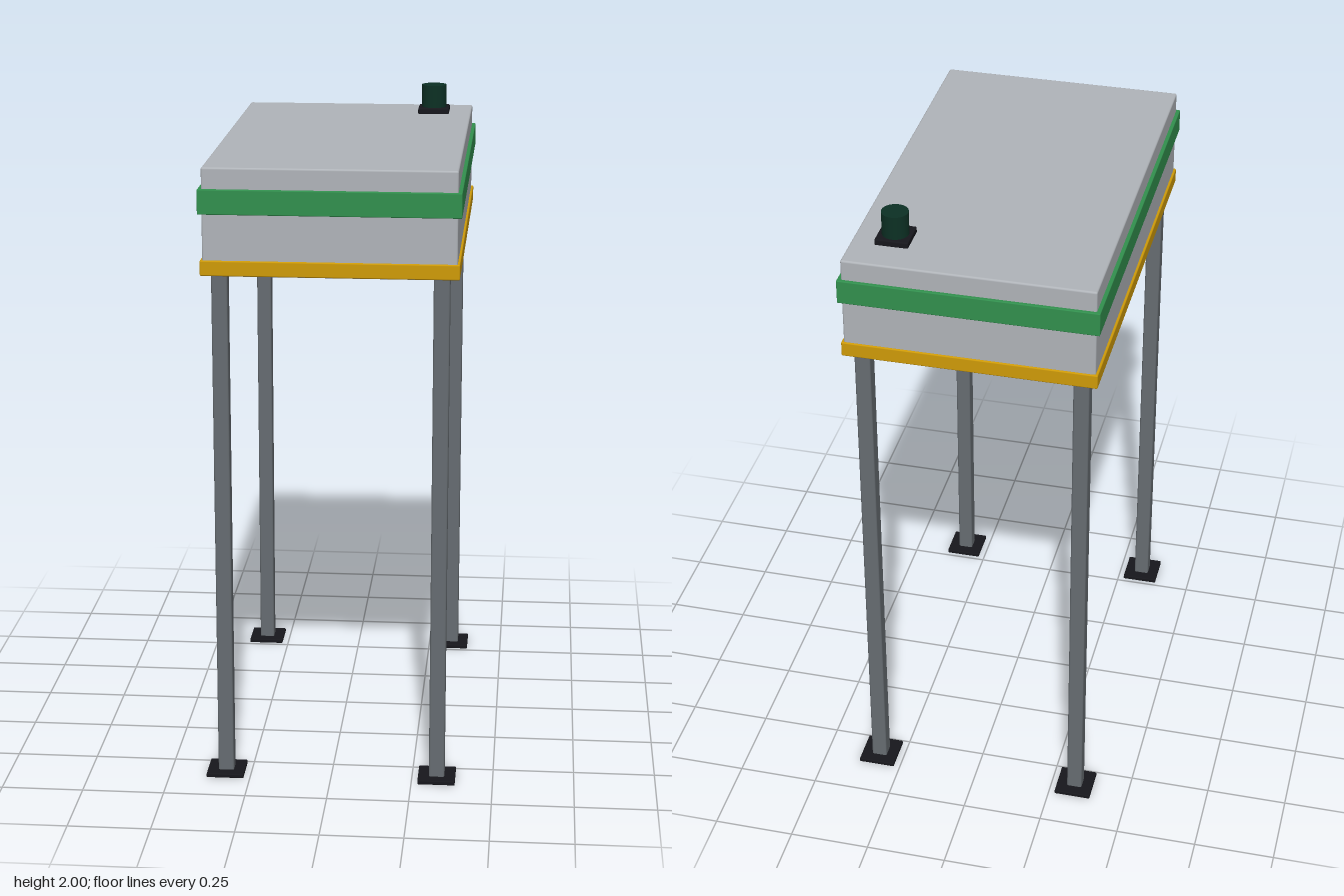
import * as THREE from 'three';
import { RoundedBoxGeometry } from 'three/addons/geometries/RoundedBoxGeometry.js';

function mat(name, color) {
  const m = new THREE.MeshStandardMaterial({ color });
  m.name = name;
  return m;
}

export function createModel() {
  const housingGrey = mat('housing grey', 0xb0b4b9);
  const bandGreen = mat('band green', 0x32904e);
  const trimYellow = mat('trim yellow', 0xcf9b08);
  const legSteel = mat('leg steel', 0x666c71);
  const black = mat('black', 0x17171c);
  const capGreen = mat('cap dark green', 0x0c3024);

  const group = new THREE.Group();
  group.name = 'raisedCabinet';

  const add = (name, geometry, material, x, y, z) => {
    const mesh = new THREE.Mesh(geometry, material);
    mesh.name = name;
    mesh.position.set(x, y, z);
    group.add(mesh);
    return mesh;
  };
  // Box given by its bottom and top heights, with softened edges
  const box = (name, material, w, d, y0, y1, r, x = 0, z = 0) =>
    add(name, new RoundedBoxGeometry(w, y1 - y0, d, 2, r), material, x, (y0 + y1) / 2, z);

  // Housing with its two surrounding bands
  box('housing', housingGrey, 0.746, 1.234, 1.588, 1.91, 0.006);
  box('greenBand', bandGreen, 0.769, 1.254, 1.773, 1.847, 0.003);
  box('yellowTrim', trimYellow, 0.76, 1.244, 1.59, 1.636, 0.004);

  // Plate under the housing
  const pad = new THREE.Shape();
  const h = 0.233, c = 0.02;
  pad.moveTo(-h + c, -h);
  pad.lineTo(h - c, -h).quadraticCurveTo(h, -h, h, -h + c);
  pad.lineTo(h, h - c).quadraticCurveTo(h, h, h - c, h);
  pad.lineTo(-h + c, h).quadraticCurveTo(-h, h, -h, h - c);
  pad.lineTo(-h, -h + c).quadraticCurveTo(-h, -h, -h + c, -h);
  const padGeometry = new THREE.ExtrudeGeometry(pad, { depth: 0.018, bevelEnabled: false, curveSegments: 5 });
  padGeometry.rotateX(-Math.PI / 2);
  add('undersidePlate', padGeometry, black, 0, 1.572, 0);

  // Four legs on flat feet
  for (const sx of [-1, 1]) {
    for (const sz of [-1, 1]) {
      box('leg', legSteel, 0.048, 0.048, 0.008, 1.592, 0.006, sx * 0.327, sz * 0.57);
      box('foot', black, 0.115, 0.115, 0, 0.013, 0.003, sx * 0.327, sz * 0.57);
    }
  }

  // Knob on the lid
  box('knobBase', black, 0.1, 0.1, 1.908, 1.928, 0.004, 0.252, -0.46);
  add('knob', new THREE.CylinderGeometry(0.04, 0.04, 0.074, 32), capGreen, 0.252, 1.963, -0.46);

  return group;
}
